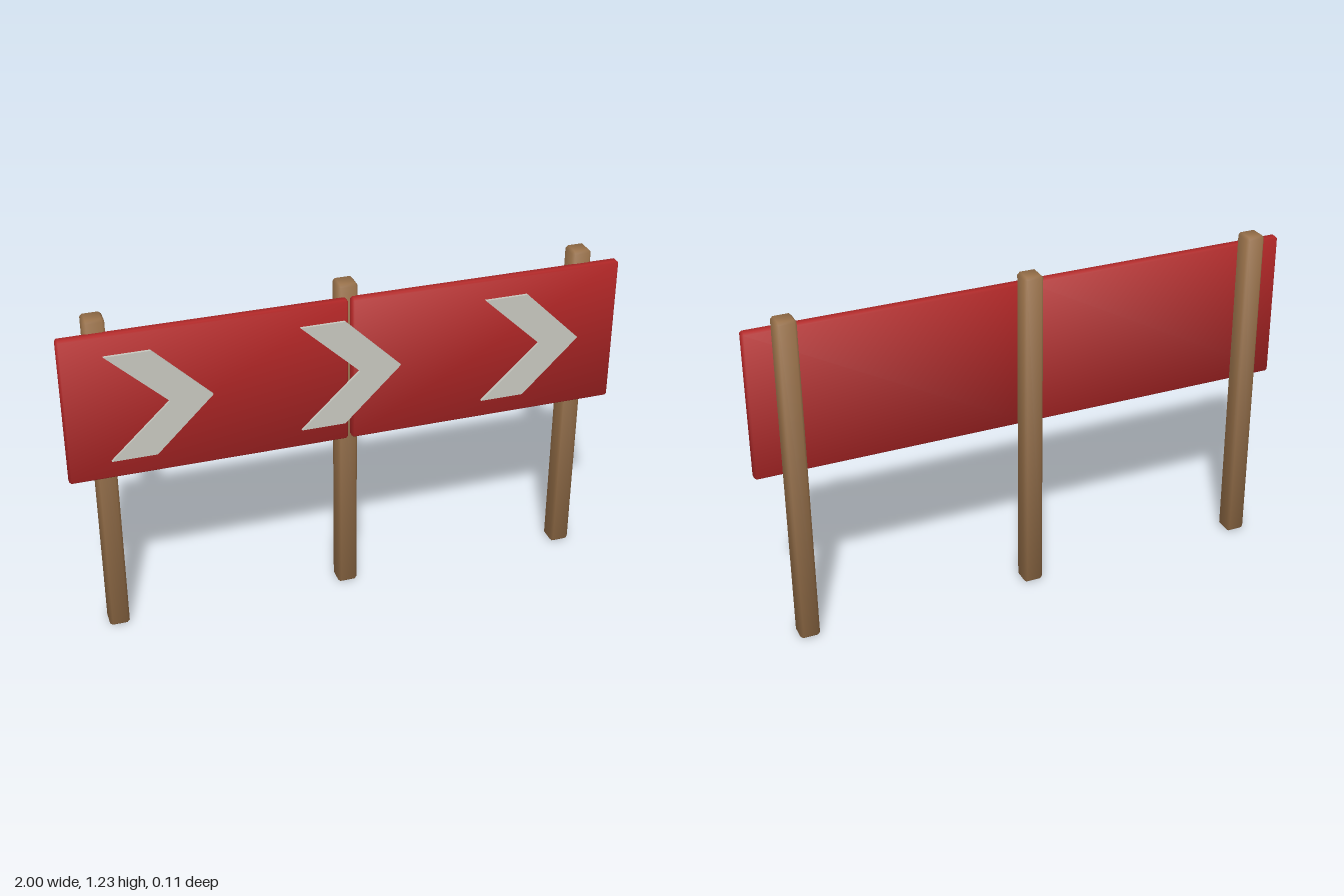
import * as THREE from 'three';
import { ConvexGeometry } from 'three/addons/geometries/ConvexGeometry.js';

const red = new THREE.MeshStandardMaterial({ name: 'sign red', color: 0xb32727 });
const wood = new THREE.MeshStandardMaterial({ name: 'post wood', color: 0x977049 });
const grey = new THREE.MeshStandardMaterial({ name: 'arrow pale grey', color: 0xc6c6be });

// Chamfered box with soft normals that lean outwards towards the edges
function chamferBox(w, h, d, c) {
  const half = [w / 2, h / 2, d / 2];
  const points = [];
  for (let axis = 0; axis < 3; axis++)
    for (const sx of [-1, 1]) for (const sy of [-1, 1]) for (const sz of [-1, 1]) {
      const p = [sx, sy, sz].map((s, i) => s * (half[i] - (i === axis ? 0 : c)));
      points.push(new THREE.Vector3(...p));
    }
  const geo = new ConvexGeometry(points);
  const pos = geo.attributes.position, normal = geo.attributes.normal;
  const v = new THREE.Vector3();
  for (let i = 0; i < pos.count; i++) {
    v.fromBufferAttribute(pos, i);
    const n = v.toArray().map((p, k) =>
      Math.sign(p) * (Math.abs(p) > half[k] - c / 2 ? 1 : 0.43));
    v.fromArray(n).normalize();
    normal.setXYZ(i, v.x, v.y, v.z);
  }
  return geo;
}

// Arrow outline pointing towards +x, centred on its own origin
function chevronGeometry() {
  const outline = [[-0.18, 0.2], [-0.022, 0.2], [0.182, 0], [-0.022, -0.2], [-0.18, -0.2], [0.032, 0]];
  const shape = new THREE.Shape(outline.map(([x, y]) => new THREE.Vector2(x, y)));
  return new THREE.ExtrudeGeometry(shape, { depth: 0.011, bevelEnabled: false });
}

export function createModel() {
  const group = new THREE.Group();
  group.name = 'chevronRoadSign';
  const add = (name, geo, mat, x, y, z) => {
    const mesh = new THREE.Mesh(geo, mat);
    mesh.name = name;
    mesh.position.set(x, y, z);
    group.add(mesh);
  };

  const postGeo = chamferBox(0.072, 1.234, 0.073, 0.009);
  const panelGeo = chamferBox(0.993, 0.545, 0.036, 0.007);
  const arrowGeo = chevronGeometry();

  // Three posts, each paired with an arrow
  ['right', 'middle', 'left'].forEach((side, i) => {
    add(side + 'Post', postGeo, wood, (i - 1) * 0.867, 0.617, -0.0185);
    add(side + 'Arrow', arrowGeo, grey, (i - 1) * 0.672, 0.915, 0.044);
  });

  // Two panels with a narrow gap between them
  for (const s of [-1, 1])
    add(s < 0 ? 'rightPanel' : 'leftPanel', panelGeo, red, s * 0.5035, 0.9165, 0.027);

  return group;
}
